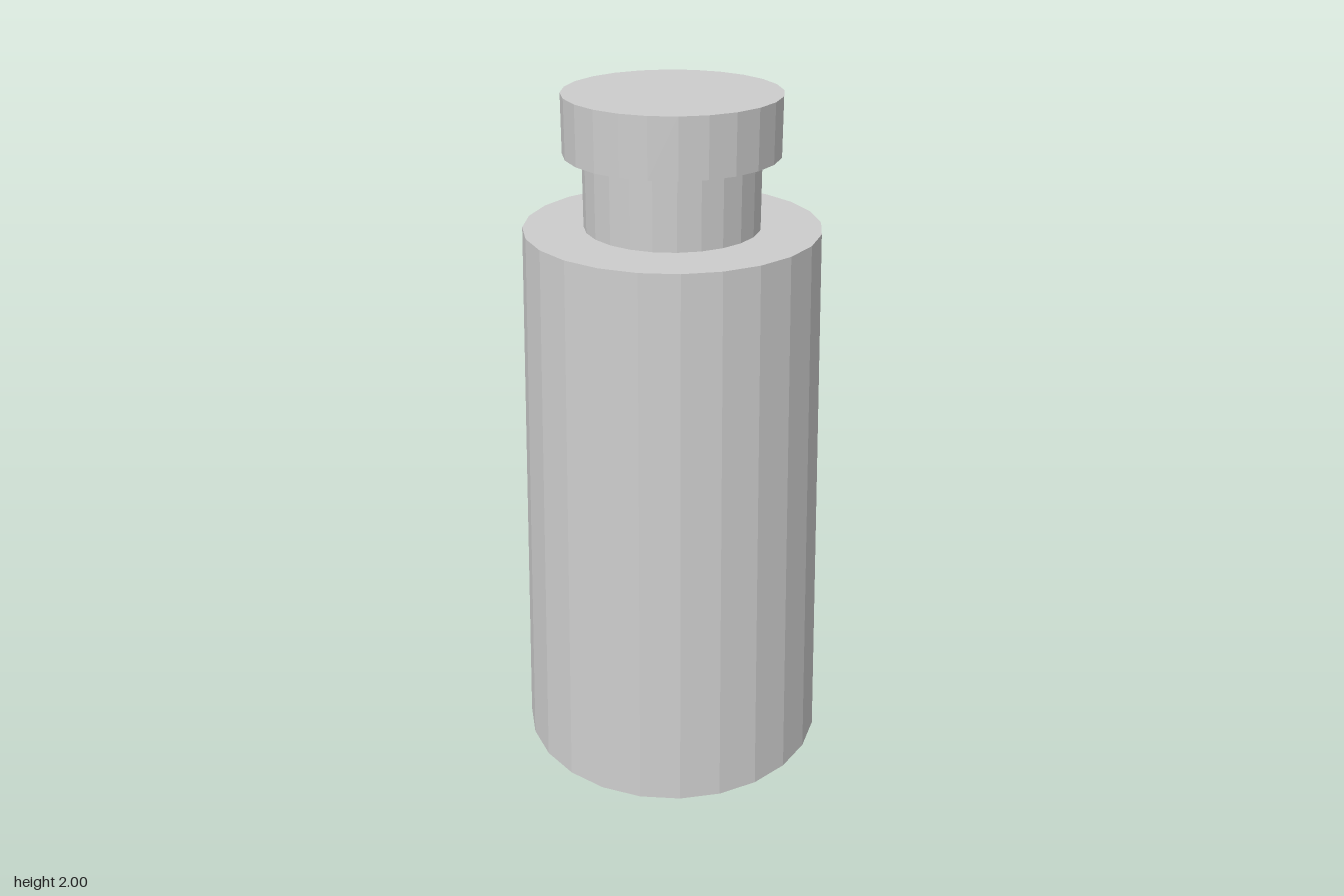
import * as THREE from 'three';

export function createModel() {
  const group = new THREE.Group();
  group.name = 'bottle';
  const grey = new THREE.MeshStandardMaterial({ color: 0xcccccc, flatShading: true });
  grey.name = 'light grey';

  // Closed 24-sided section between two heights
  const section = (name, rTop, rBottom, y0, y1) => {
    const geometry = new THREE.CylinderGeometry(rTop, rBottom, y1 - y0, 24);
    const mesh = new THREE.Mesh(geometry, grey);
    mesh.name = name;
    mesh.position.y = (y0 + y1) / 2;
    group.add(mesh);
  };

  section('body', 0.415, 0.461, 0, 1.633); // tapered body
  section('neck', 0.246, 0.246, 1.633, 1.837); // narrow neck
  section('cap', 0.299, 0.299, 1.837, 2); // wider cap
  return group;
}
